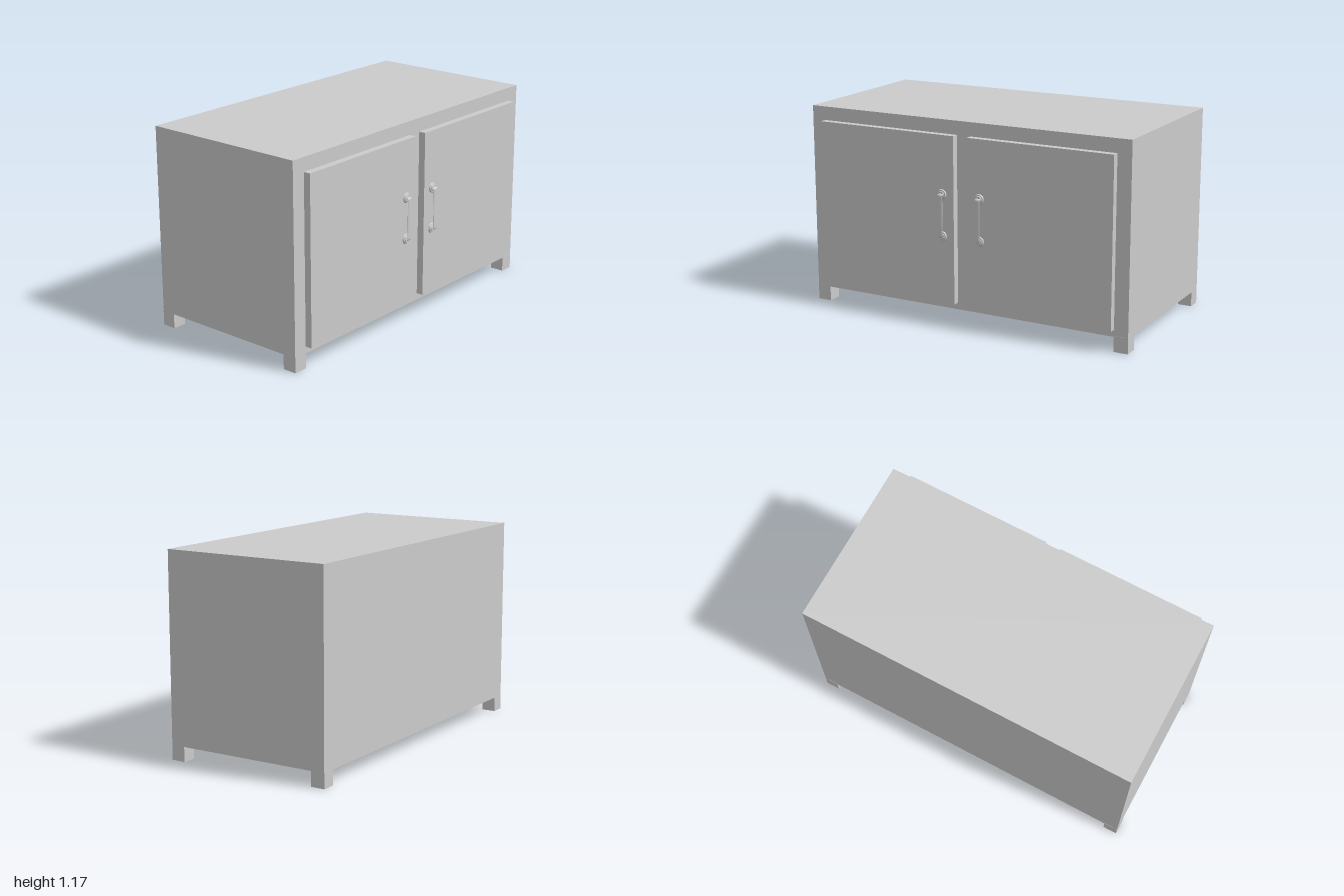
import * as THREE from 'three';

const material = new THREE.MeshStandardMaterial({ color: 0xcccccc });

function addMesh(parent, name, geometry, x = 0, y = 0, z = 0) {
  const mesh = new THREE.Mesh(geometry, material);
  mesh.name = name;
  mesh.position.set(x, y, z);
  parent.add(mesh);
  return mesh;
}

// Box given by its minimum and maximum corners
function addBox(parent, name, [x0, y0, z0], [x1, y1, z1]) {
  const geometry = new THREE.BoxGeometry(x1 - x0, y1 - y0, z1 - z0);
  return addMesh(parent, name, geometry, (x0 + x1) / 2, (y0 + y1) / 2, (z0 + z1) / 2);
}

// Pull handle: a flattened U-shaped bar on two round mounting plates
function createHandle() {
  const handle = new THREE.Group();
  handle.name = 'handle';
  const half = 0.123, depth = 0.023, bend = 0.01;
  const v = (y, z) => new THREE.Vector3(0, y, z);

  const path = new THREE.CurvePath();
  path.add(new THREE.LineCurve3(v(-half, 0), v(-half, depth - bend)));
  path.add(new THREE.QuadraticBezierCurve3(v(-half, depth - bend), v(-half, depth), v(-half + bend, depth)));
  path.add(new THREE.LineCurve3(v(-half + bend, depth), v(half - bend, depth)));
  path.add(new THREE.QuadraticBezierCurve3(v(half - bend, depth), v(half, depth), v(half, depth - bend)));
  path.add(new THREE.LineCurve3(v(half, depth - bend), v(half, 0)));

  const bar = new THREE.TubeGeometry(path, 96, 0.0035, 16, false);
  // Widen the bar sideways into an oval section
  bar.scale(4.6, 1, 1);
  bar.computeVertexNormals();
  addMesh(handle, 'handleBar', bar);

  for (const side of [-1, 1]) {
    const plate = new THREE.CylinderGeometry(0.026, 0.03, 0.007, 24).rotateX(Math.PI / 2);
    addMesh(handle, 'handlePlate', plate, 0, side * 0.12, 0.0035);
    const collar = new THREE.CylinderGeometry(0.017, 0.02, 0.004, 24).rotateX(Math.PI / 2);
    addMesh(handle, 'handleCollar', collar, 0, side * 0.12, 0.009);
  }
  return handle;
}

export function createModel() {
  const cabinet = new THREE.Group();
  cabinet.name = 'cabinet';

  addBox(cabinet, 'body', [-1, 0.085, -0.531], [1, 1.167, 0.465]);

  for (const side of [-1, 1]) {
    // Doors with handles beside the centre gap
    const door = new THREE.Group();
    door.name = side > 0 ? 'leftDoor' : 'rightDoor';
    const [x0, x1] = [side * 0.043, side * 0.917].sort((a, b) => a - b);
    addBox(door, 'doorPanel', [x0, 0.125, 0.46], [x1, 1.088, 0.506]);
    const handle = createHandle();
    handle.position.set(side * 0.118, 0.633, 0.506);
    door.add(handle);
    cabinet.add(door);

    // Square corner legs
    for (const [name, z] of [['frontLeg', 0.424], ['backLeg', -0.4905]]) {
      addMesh(cabinet, name, new THREE.BoxGeometry(0.083, 0.09, 0.083), side * 0.9585, 0.045, z);
    }
  }
  return cabinet;
}
